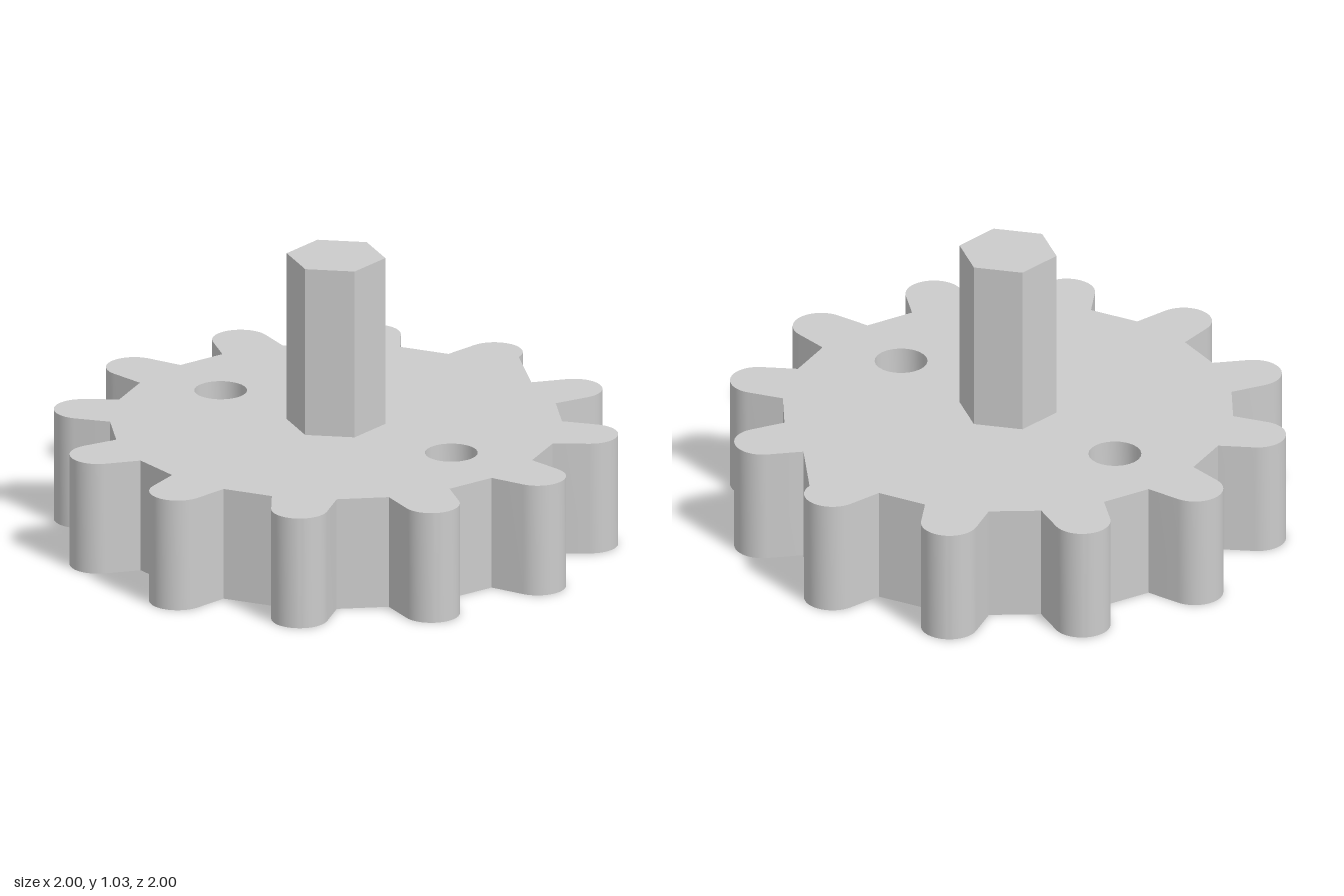
import * as THREE from 'three';
import { toCreasedNormals } from 'three/addons/utils/BufferGeometryUtils.js';

const TEETH = 12, PLATE_HEIGHT = 0.41, SHAFT_TOP = 1.03;

// Gear outline: straight root flats, tapered flanks and rounded tips
function gearOutline() {
  const shape = new THREE.Shape();
  const taper = 0.12, tipRadius = 0.1, tipCentre = 0.9;
  for (let i = 0; i < TEETH; i++) {
    const a = (i / TEETH) * Math.PI * 2;
    const c = Math.cos(a), s = Math.sin(a);
    const at = (r, t) => [r * c - t * s, r * s + t * c];
    if (i === 0) shape.moveTo(...at(0.785, -0.115));
    else shape.lineTo(...at(0.785, -0.115));
    const half = Math.PI / 2 - taper;
    shape.absarc(...at(tipCentre, 0), tipRadius, a - half, a + half, false);
    shape.lineTo(...at(0.785, 0.115));
  }
  shape.closePath();
  return shape;
}

function roundHole(x, y, r) {
  return new THREE.Path().absarc(x, y, r, 0, Math.PI * 2, true);
}

function hexHole(r) {
  const points = [];
  for (let i = 0; i < 6; i++) {
    const a = Math.PI / 2 - (i * Math.PI) / 3;
    points.push(new THREE.Vector2(r * Math.cos(a), r * Math.sin(a)));
  }
  return new THREE.Path(points).closePath();
}

export function createModel() {
  const group = new THREE.Group();
  group.name = 'gearWithShaft';
  const material = new THREE.MeshStandardMaterial({ color: 0xcccccc });

  // Toothed plate with two through holes and a hexagonal socket underneath
  const outline = gearOutline();
  outline.holes.push(roundHole(0, 0.515, 0.093), roundHole(0, -0.515, 0.093), hexHole(0.13));
  const plateGeometry = new THREE.ExtrudeGeometry(outline, {
    depth: PLATE_HEIGHT, bevelEnabled: false, curveSegments: 12,
  });
  plateGeometry.rotateX(-Math.PI / 2);
  const plate = new THREE.Mesh(toCreasedNormals(plateGeometry, 0.45), material);
  plate.name = 'gearPlate';
  group.add(plate);

  // Hexagonal shaft; its lower face closes the socket
  const length = SHAFT_TOP - PLATE_HEIGHT;
  const shaftGeometry = new THREE.CylinderGeometry(0.175, 0.175, length, 6, 1, false, Math.PI / 2);
  const shaft = new THREE.Mesh(toCreasedNormals(shaftGeometry, 0.45), material);
  shaft.name = 'hexShaft';
  shaft.position.y = PLATE_HEIGHT + length / 2;
  group.add(shaft);

  return group;
}
